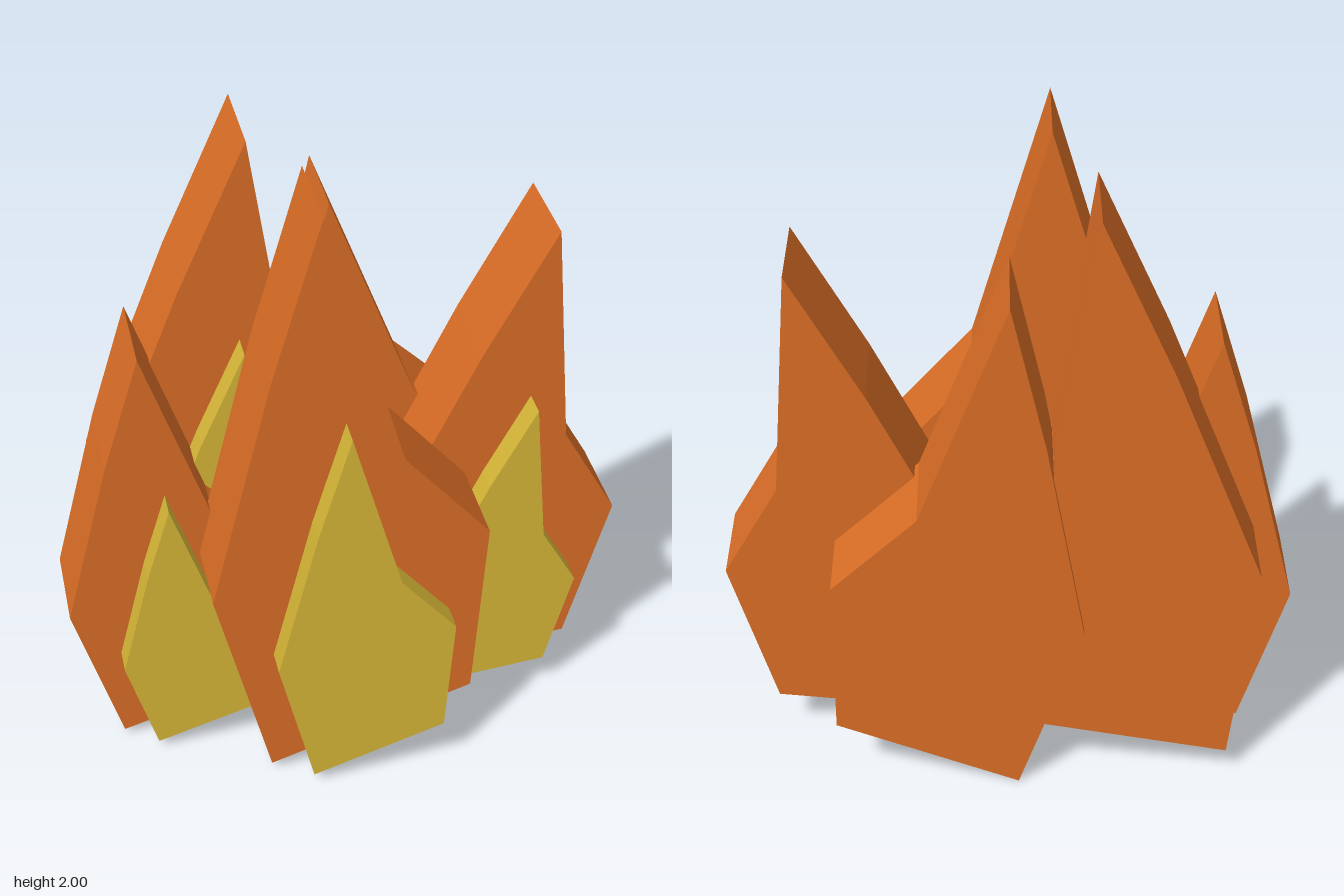
import * as THREE from 'three';

// Flame outline in a frame where the base corner is (0,0) and the tip is (0,1): [across, along]
const OUTLINE = [[0, 0], [-0.116, 0.335], [-0.055, 0.728], [0, 1], [0.160, 0.588], [0.309, 0.446], [0.315, 0.140]];

// Extruded flame running from its base corner to its tip
function flame(name, base, tip, stretch, back, front, material) {
  const ax = tip[0] - base[0], ay = tip[1] - base[1];
  const points = OUTLINE.map(([u, v]) => new THREE.Vector2(
    base[0] + ay * u * stretch + ax * v,
    base[1] - ax * u * stretch + ay * v
  ));
  const geometry = new THREE.ExtrudeGeometry(new THREE.Shape(points), { depth: front - back, bevelEnabled: false });
  geometry.translate(0, 0, back);
  const mesh = new THREE.Mesh(geometry, material);
  mesh.name = name;
  return mesh;
}

export function createModel() {
  const orange = new THREE.MeshStandardMaterial({ color: 0xdb6e26 });
  orange.name = 'orange';
  const yellow = new THREE.MeshStandardMaterial({ color: 0xd8b838 });
  yellow.name = 'yellow';

  const fire = new THREE.Group();
  fire.name = 'fire';

  // Each flame: outer base and tip, inner base and tip, width factor, back and front z
  const flames = [
    { name: 'frontFlame', base: [-0.31, 0.03], tip: [-0.135, 2.0], inBase: [-0.19, 0.04], inTip: [-0.07, 1.315], stretch: 1, z: [0.08, 0.39] },
    { name: 'rightFlame', base: [-0.75, 0.025], tip: [-0.64, 1.44], inBase: [-0.65, 0.035], inTip: [-0.58, 0.945], stretch: 1.12, z: [-0.18, 0.13] },
    { name: 'leftFlame', base: [0.15, 0.093], tip: [0.645, 1.695], inBase: [0.265, 0.08], inTip: [0.58, 1.12], stretch: 1.02, z: [-0.23, 0.08] },
    { name: 'backRightFlame', base: [-0.69, 0.10], tip: [-0.26, 1.98], inBase: [-0.575, 0.085], inTip: [-0.295, 1.305], stretch: 1, z: [-0.45, -0.135] },
    { name: 'backLeftFlame', base: [-0.035, 0.005], tip: [-0.007, 1.73], inBase: [0.08, 0.02], inTip: [0.10, 1.14], stretch: 1.04, z: [-0.48, -0.17] },
  ];

  for (const f of flames) {
    const part = new THREE.Group();
    part.name = f.name;
    part.add(
      flame('outerFlame', f.base, f.tip, f.stretch, f.z[0], f.z[1], orange),
      flame('innerFlame', f.inBase, f.inTip, f.stretch, f.z[1], f.z[1] + 0.09, yellow)
    );
    fire.add(part);
  }
  return fire;
}
